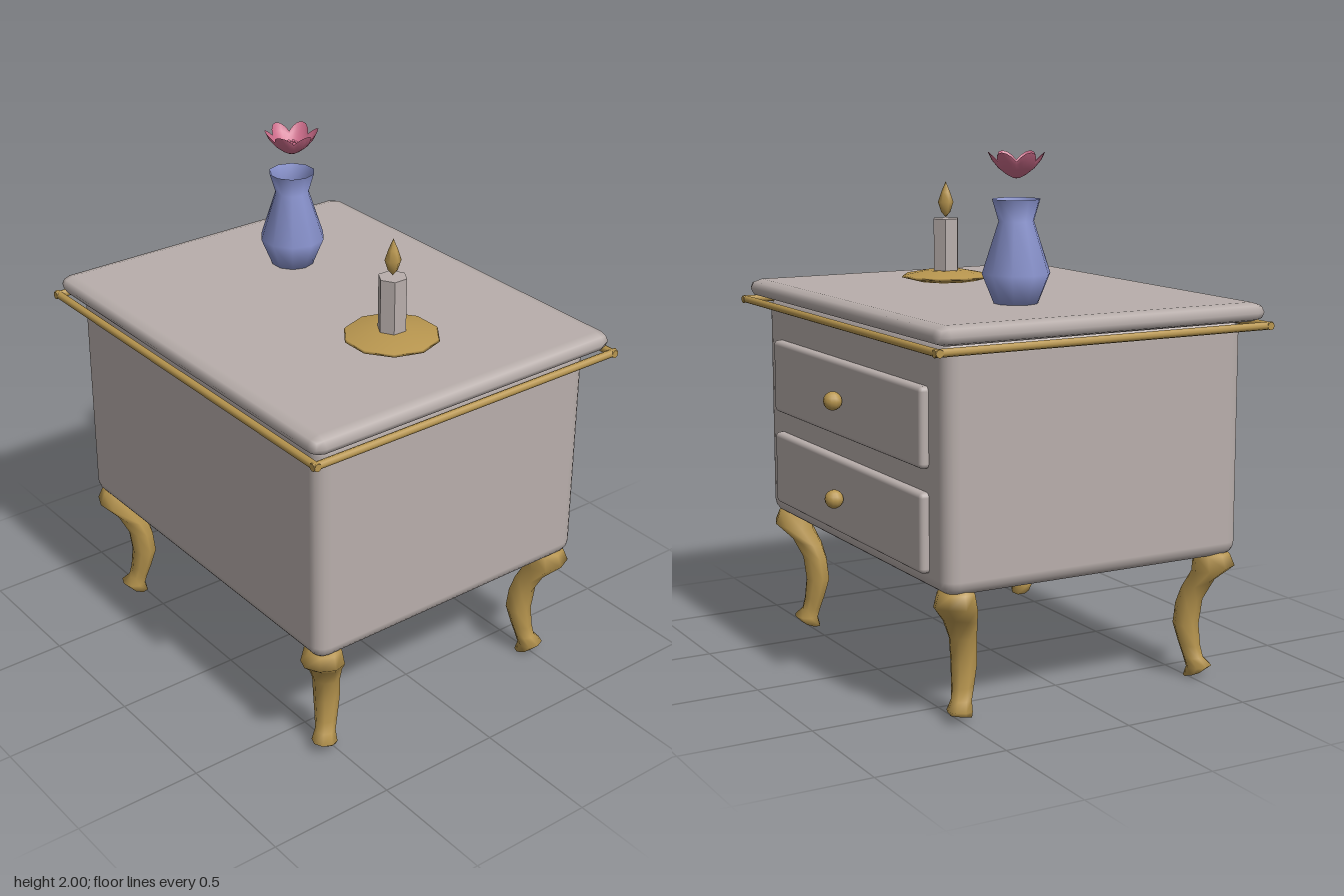
import * as THREE from 'three';
import { RoundedBoxGeometry } from 'three/addons/geometries/RoundedBoxGeometry.js';

const paint = (name, color, side = THREE.FrontSide) => {
  const m = new THREE.MeshStandardMaterial({ color, side });
  m.name = name;
  return m;
};

// Closed tube of rings; each ring is [y, distance along the diagonal, radius, tilt]
function legGeometry(rings, sides) {
  const pos = [], index = [], d = Math.SQRT1_2;
  const add = (y, c, out, across) =>
    pos.push(c + (out - across) * d, y, c + (out + across) * d);
  for (const [y, c, r, tilt] of rings)
    for (let i = 0; i < sides; i++) {
      const a = (i / sides) * Math.PI * 2;
      add(y + tilt * Math.cos(a), c, r * Math.cos(a), r * Math.sin(a));
    }
  for (let k = 0; k < rings.length - 1; k++)
    for (let i = 0; i < sides; i++) {
      const j = (i + 1) % sides, a = k * sides + i, b = k * sides + j;
      index.push(a, b, b + sides, a, b + sides, a + sides);
    }
  const top = rings[0], end = rings[rings.length - 1], n = rings.length * sides;
  add(top[0], top[1], 0, 0);
  add(end[0], end[1], 0, 0);
  for (let i = 0; i < sides; i++) {
    const j = (i + 1) % sides, base = (rings.length - 1) * sides;
    index.push(n, j, i, n + 1, base + i, base + j);
  }
  const g = new THREE.BufferGeometry();
  g.setAttribute('position', new THREE.Float32BufferAttribute(pos, 3));
  g.setIndex(index);
  g.computeVertexNormals();
  return g;
}

const lathe = (points, sides) =>
  new THREE.LatheGeometry(points.map(([r, y]) => new THREE.Vector2(r, y)), sides, Math.PI / 2);

// Open cup whose rim is drawn into six petals
function blossomGeometry() {
  const g = lathe([[0.012, 0], [0.035, 0.012], [0.065, 0.035], [0.09, 0.065], [0.104, 0.095]], 36);
  const p = g.attributes.position;
  for (let i = 0; i < p.count; i++) {
    const x = p.getX(i), y = p.getY(i), z = p.getZ(i);
    const lobe = Math.abs(Math.cos(3 * Math.atan2(z, x)));
    const t = y / 0.095;
    const k = 1 - 0.24 * t * (1 - lobe);
    p.setXYZ(i, x * k, y * (1 - 0.35 * t * (1 - lobe)), z * k);
  }
  g.computeVertexNormals();
  return g;
}

export function createModel() {
  const model = new THREE.Group();
  const grey = paint('warm grey', 0xb8aeab);
  const gold = paint('gold', 0xb8964f);
  const blue = paint('periwinkle', 0x8c96d2, THREE.DoubleSide);
  const pink = paint('rose', 0xcc6c8a, THREE.DoubleSide);
  const add = (name, geometry, material, x = 0, y = 0, z = 0, parent = model) => {
    const m = new THREE.Mesh(geometry, material);
    m.name = name;
    m.position.set(x, y, z);
    parent.add(m);
    return m;
  };
  const midZ = 0.015;

  // Cabinet and top
  add('body', new RoundedBoxGeometry(1.55, 0.9, 1.245, 2, 0.055), grey, 0, 0.94, midZ);
  add('tabletop', new RoundedBoxGeometry(1.685, 0.1, 1.37, 1, 0.049), grey, 0, 1.415, midZ)
    .scale.y = 0.72;

  // Gold moulding under the top
  const trim = new THREE.Group();
  trim.name = 'trim';
  model.add(trim);
  for (const s of [-1, 1]) {
    const long = new THREE.CylinderGeometry(0.015, 0.015, 1.71, 8).rotateZ(Math.PI / 2);
    const short = new THREE.CylinderGeometry(0.015, 0.015, 1.4, 8).rotateX(Math.PI / 2);
    add('longMoulding', long, gold, 0, 1.366, midZ - 0.002 + s * 0.685, trim);
    add('sideMoulding', short, gold, s * 0.84, 1.366, midZ - 0.002, trim);
  }

  // Drawers with knobs
  for (const y of [0.7, 1.075]) {
    add('drawer', new RoundedBoxGeometry(1.29, 0.29, 0.07, 2, 0.018), grey, 0, y, -0.605);
    add('knob', new THREE.SphereGeometry(0.036, 12, 8), gold, 0, y, -0.675);
  }

  // Curved legs
  const leg = legGeometry([
    [0.515, 0.695, 0.05, 0], [0.49, 0.7, 0.07, 0.005], [0.435, 0.705, 0.082, 0.015],
    [0.37, 0.665, 0.064, 0.02], [0.3, 0.642, 0.052, 0.01], [0.21, 0.634, 0.05, 0],
    [0.13, 0.645, 0.043, -0.005], [0.08, 0.656, 0.039, 0], [0.045, 0.672, 0.049, 0.005],
    [0.016, 0.658, 0.04, 0.012],
  ].map(([y, c, r, t]) => [y, c, r, t]), 8);
  // The legs stand slightly closer together in depth than in width
  leg.translate(0, 0, -0.152);
  [[1, 0], [1, 1], [-1, 0], [-1, 1]].forEach(([sx, back]) => {
    const g = leg.clone();
    const sz = back ? -1 : 1;
    g.scale(sx, 1, sz);
    if (sx * sz < 0) {
      const a = g.index.array;
      for (let i = 0; i < a.length; i += 3) [a[i], a[i + 1]] = [a[i + 1], a[i]];
    }
    g.computeVertexNormals();
    add(back ? 'backLeg' : 'frontLeg', g, gold, 0, 0, 0.016);
  });

  // Vase and floating blossom
  add('vase', lathe([[0, 1.45], [0.083, 1.45], [0.128, 1.56], [0.066, 1.75], [0.09, 1.83]], 10),
    blue, -0.39, 0, -0.112);
  const flower = new THREE.Group();
  flower.name = 'flower';
  flower.position.set(-0.39, 1.905, -0.112);
  model.add(flower);
  add('petals', blossomGeometry(), pink, 0, 0, 0, flower);
  add('flowerBase', new THREE.SphereGeometry(0.024, 8, 6), pink, 0, 0.022, 0, flower);
  for (let i = 0; i < 6; i++) {
    const a = (i / 6) * Math.PI * 2;
    add('stamen', new THREE.SphereGeometry(0.008, 6, 4), pink,
      0.018 * Math.cos(a), 0.042, 0.018 * Math.sin(a), flower);
  }

  // Candle on its dish
  const candle = new THREE.Group();
  candle.name = 'candlestick';
  candle.position.set(0.388, 1.45, 0.012);
  model.add(candle);
  add('dish', lathe([[0, 0], [0.12, 0], [0.181, 0.016], [0.175, 0.024], [0.075, 0.043], [0, 0.043]], 10),
    gold, 0, 0, 0, candle);
  const wax = new THREE.CylinderGeometry(0.055, 0.055, 0.22, 6).toNonIndexed();
  wax.computeVertexNormals();
  add('wax', wax, grey, 0, 0.14, 0, candle);
  add('flame', lathe([[0, 0.255], [0.018, 0.275], [0.031, 0.315], [0.018, 0.355], [0, 0.398]], 6),
    gold, 0, 0, 0, candle);

  return model;
}
